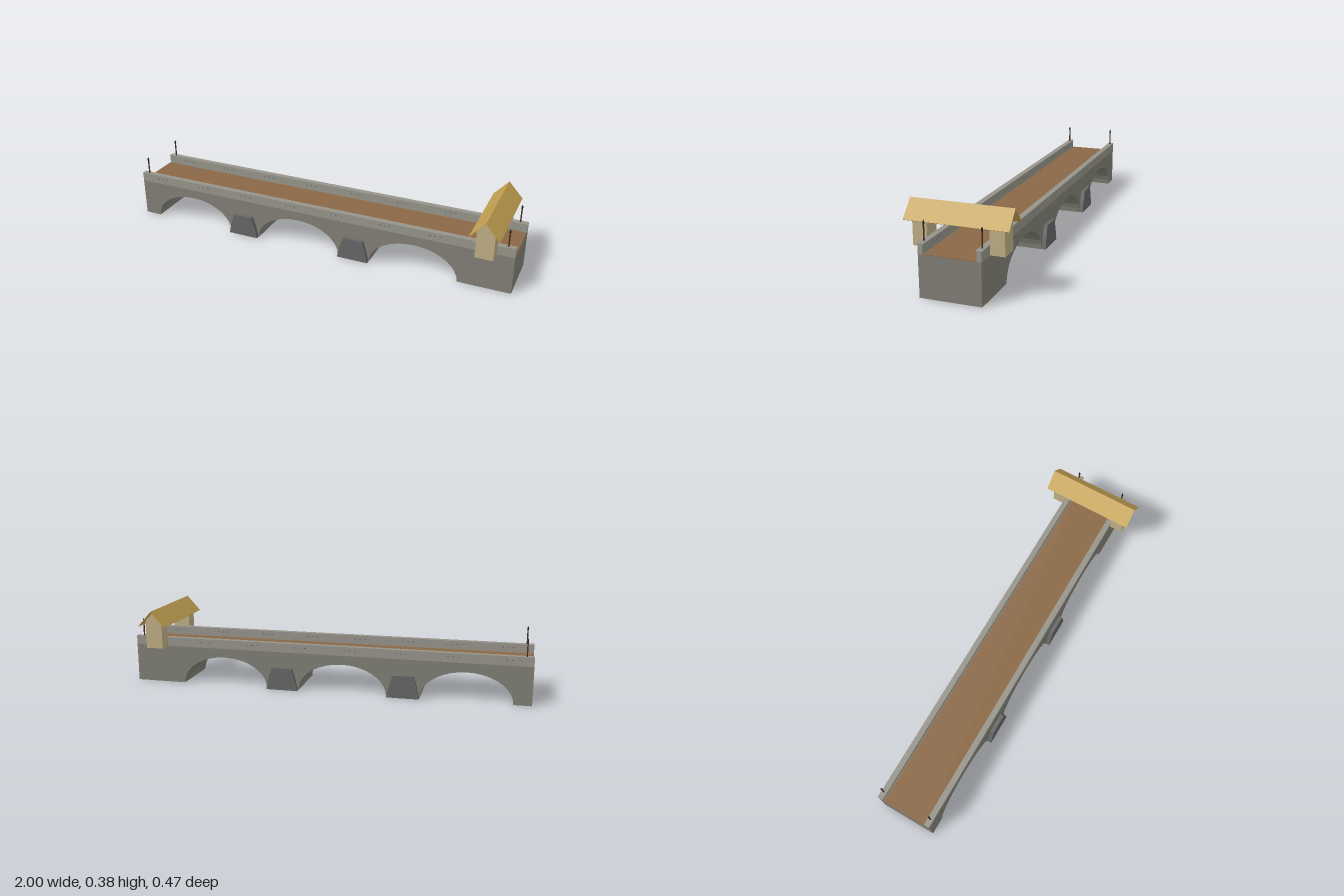
import * as THREE from 'three';

const mat = (color, extra = {}) =>
  new THREE.MeshStandardMaterial({ color, flatShading: true, ...extra });

export function createModel() {
  const bridge = new THREE.Group();
  bridge.name = 'archBridge';

  const stone = mat(0x807e74);
  const darkStone = mat(0x666666);
  const paleStone = mat(0x96948a);
  const earth = mat(0x8a6846);
  const wood = mat(0x4a3020);
  const iron = mat(0x222222);
  const plaster = mat(0xbfae85);
  const thatch = mat(0xc2a050, { side: THREE.DoubleSide });

  const add = (name, geometry, material, x = 0, y = 0, z = 0, parent = bridge) => {
    const mesh = new THREE.Mesh(geometry, material);
    mesh.name = name;
    mesh.position.set(x, y, z);
    parent.add(mesh);
    return mesh;
  };

  // Extrude an outline of [x, y] pairs along z, centred on z = 0
  const prism = (points, depth) => {
    const shape = new THREE.Shape(points.map(([x, y]) => new THREE.Vector2(x, y)));
    return new THREE.ExtrudeGeometry(shape, { depth, bevelEnabled: false })
      .translate(0, 0, -depth / 2);
  };

  // Body with three arches cut from its lower edge
  const halfSpan = 0.222, rise = 0.145, steps = 18;
  const outline = [[-1, 0.19], [-1, 0]];
  for (const cx of [-0.692, -0.085, 0.522]) {
    for (let i = 0; i <= steps; i++) {
      const a = Math.PI * (1 - i / steps);
      outline.push([cx + halfSpan * Math.cos(a), rise * Math.sin(a)]);
    }
  }
  outline.push([1, 0], [1, 0.19]);
  add('arches', prism(outline, 0.278), stone);

  // Roadway
  add('roadway', new THREE.BoxGeometry(2, 0.003, 0.226), earth, 0, 0.191, 0);

  const cutwater = prism(
    [[-0.08, 0], [0.08, 0], [0.068, 0.055], [0.05, 0.111], [-0.05, 0.111], [-0.068, 0.055]], 0.02);
  const stud = new THREE.BoxGeometry(0.008, 0.004, 0.003);
  const postGeometry = new THREE.CylinderGeometry(0.0035, 0.0035, 0.07, 6);
  const collar = new THREE.CylinderGeometry(0.005, 0.003, 0.006, 6);
  const lamp = new THREE.CylinderGeometry(0.003, 0.005, 0.01, 6);
  const finial = new THREE.ConeGeometry(0.002, 0.007, 6);

  for (const s of [1, -1]) {
    // Parapet wall and its coping
    add('parapet', new THREE.BoxGeometry(2, 0.044, 0.021), paleStone, 0, 0.211, s * 0.1285);
    add('coping', new THREE.BoxGeometry(2, 0.004, 0.028), paleStone, 0, 0.234, s * 0.1275);

    // Small studs in groups of three on both faces of the parapet
    for (let g = 0; g < 8; g++) {
      for (let k = -1; k <= 1; k++) {
        const x = -0.875 + g * 0.25 + k * 0.025;
        add('stud', stud, darkStone, x, 0.217, s * 0.1395);
        add('stud', stud, darkStone, x, 0.217, s * 0.1175);
      }
    }

    // Cutwaters against the two inner piers
    for (const x of [-0.39, 0.219]) add('cutwater', cutwater, darkStone, x, 0, s * 0.148);

    // Lamp posts at the four corners
    for (const x of [-0.965, 0.963]) {
      const post = new THREE.Group();
      post.name = 'lampPost';
      post.position.set(x, 0.236, s * 0.128);
      bridge.add(post);
      add('pole', postGeometry, wood, 0, 0.035, 0, post);
      add('collar', collar, iron, 0, 0.072, 0, post);
      add('lamp', lamp, iron, 0, 0.08, 0, post);
      add('finial', finial, iron, 0, 0.0875, 0, post);
    }

    // Gabled tower beside the road
    add('gateTower', prism(
      [[-0.043, 0.19], [0.043, 0.19], [0.043, 0.331], [0, 0.377], [-0.043, 0.331]], 0.066),
    plaster, 0.872, 0, s * 0.172);
  }

  // Thin pitched roof spanning both towers
  add('gateRoof', prism(
    [[-0.07, 0.307], [-0.068, 0.305], [0, 0.38], [0.068, 0.305], [0.07, 0.307], [0, 0.384]], 0.467),
  thatch, 0.872, 0, 0);

  return bridge;
}
